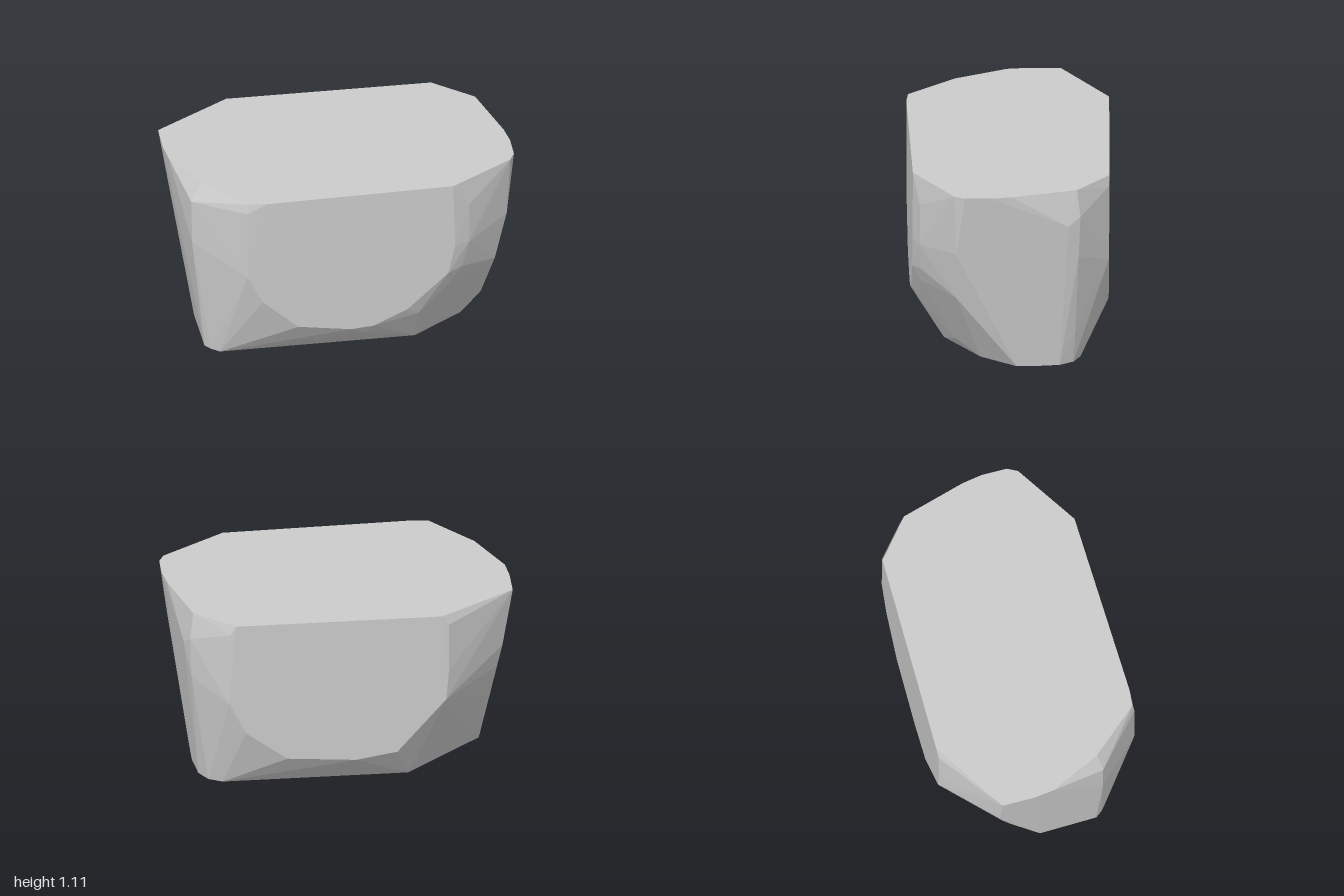
import * as THREE from 'three';
import { ConvexGeometry } from 'three/addons/geometries/ConvexGeometry.js';

const HEIGHT = 1.11;

export function createModel() {
  // Flat top outline (x, z)
  const top = [
    [-1, -0.31], [-1, -0.12], [-0.985, 0], [-0.84, 0.3], [-0.6, 0.575], [-0.5, 0.585],
    [0.6, 0.55], [0.97, 0.31], [1, 0.25], [1, 0.1], [0.98, -0.02], [0.87, -0.4],
    [0.64, -0.59], [-0.56, -0.59],
  ].map(([x, z]) => [x, HEIGHT, z]);

  // Smaller flat base outline (x, z)
  const base = [
    [-0.83, -0.04], [-0.82, 0.3], [-0.79, 0.34], [-0.74, 0.38], [0.4, 0.37], [0.7, 0.16],
    [0.85, -0.05], [0.85, -0.14], [0.83, -0.3], [0.78, -0.38], [0.7, -0.42], [-0.38, -0.42],
  ].map(([x, z]) => [x, 0, z]);

  // Rounded lower rim of the front face (x, y); the face turns slightly toward +x
  const front = [
    [-0.61, 1.05], [-0.61, 0.62], [-0.52, 0.44], [-0.31, 0.25], [0, 0.2], [0.13, 0.21],
    [0.33, 0.3], [0.57, 0.52], [0.61, 0.7],
  ].map(([x, y]) => [x, y, 0.568 - 0.027 * x]);

  // Rounded lower rim of the back face (x, y)
  const back = [
    [0.67, 1.05], [0.68, 0.6], [0.58, 0.4], [0.34, 0.22], [-0.06, 0.19], [-0.3, 0.23],
    [-0.585, 0.56], [-0.6, 0.75], [-0.6, 1.05],
  ].map(([x, y]) => [x, y, -0.585]);

  // Bevel points on the four worn corners (x, y, z)
  const corners = [
    [0.7, 0.95, 0.51], [0.7, 0.7, 0.51], [0.66, 0.53, 0.5], [0.59, 0.43, 0.5],
    [0.4, 0.24, 0.515], [0.1, 0.14, 0.52], [0.95, 0.74, 0.3], [0.88, 0.44, 0.3], [0.57, 0.06, 0.3],
    [0.89, 0.95, -0.42], [0.92, 0.9, -0.35], [0.88, 0.7, -0.41], [0.81, 0.2, -0.39],
    [-0.9, 1.0, 0.32], [-0.895, 0.72, 0.32],
    [-0.94, 0.75, -0.31], [-0.905, 0.6, -0.29], [-0.86, 0.38, -0.23],
  ];

  const points = [...top, ...base, ...front, ...back, ...corners].map((p) => new THREE.Vector3(...p));
  const rock = new THREE.Mesh(
    new ConvexGeometry(points),
    new THREE.MeshStandardMaterial({ color: 0xcccccc, flatShading: true }),
  );
  rock.name = 'rockBlock';

  const group = new THREE.Group();
  group.name = 'rock';
  group.add(rock);
  return group;
}
